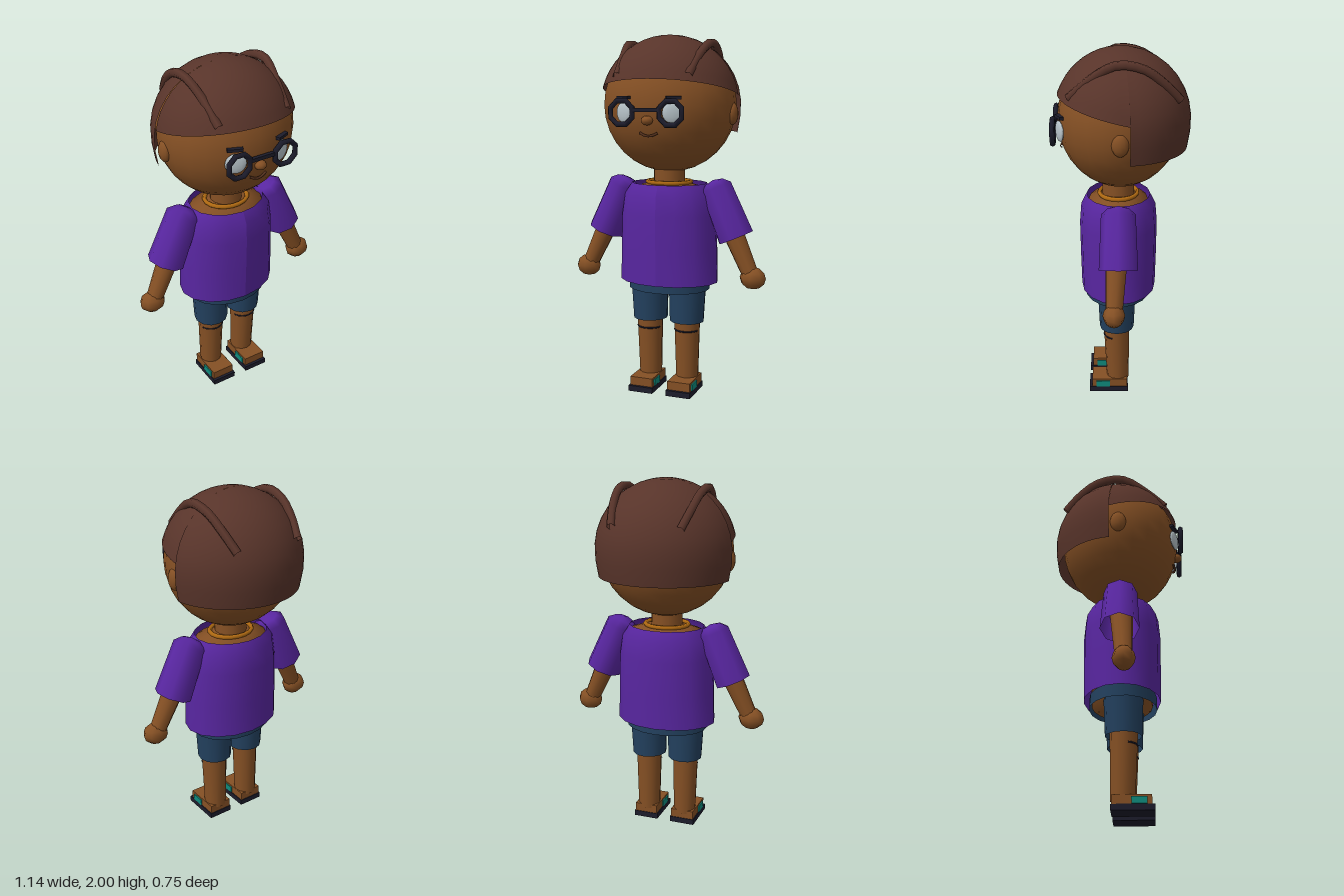
import * as THREE from 'three';

const mat = (name, color, side = THREE.FrontSide) => {
  const m = new THREE.MeshStandardMaterial({ color, side });
  m.name = name;
  return m;
};

export function createModel() {
  const model = new THREE.Group();
  model.name = 'child';
  const skin = mat('skin', 0x855024);
  const hair = mat('hair', 0x58342a, THREE.DoubleSide);
  const shirt = mat('purple shirt', 0x5826a0, THREE.DoubleSide);
  const denim = mat('blue shorts', 0x23415f, THREE.DoubleSide);
  const dark = mat('dark frames and soles', 0x1c1c2b);
  const white = mat('pale lens', 0xb8c4ca);
  const teal = mat('teal strap', 0x0f8a7c);
  const gold = mat('gold collar', 0xb06a12);
  const lip = mat('mouth brown', 0x54301c);

  const add = (name, geo, material, x = 0, y = 0, z = 0) => {
    const m = new THREE.Mesh(geo, material);
    m.name = name;
    m.position.set(x, y, z);
    model.add(m);
    return m;
  };
  const ball = (rx, ry, rz, w = 16, h = 12) => new THREE.SphereGeometry(1, w, h).scale(rx, ry, rz);
  const V = (p) => new THREE.Vector3(...p);
  const tube = (pts, r, seg = 12, sides = 6) =>
    new THREE.TubeGeometry(new THREE.CatmullRomCurve3(pts.map(V)), seg, r, sides);
  // Tapered cylinder running from point a to point b
  const limb = (name, material, a, b, ra, rb, sides = 10, open = false) => {
    const d = V(b).sub(V(a));
    const m = add(name, new THREE.CylinderGeometry(rb, ra, d.length(), sides, 1, open), material);
    m.position.copy(V(a)).addScaledVector(d, 0.5);
    m.quaternion.setFromUnitVectors(new THREE.Vector3(0, 1, 0), d.normalize());
    return m;
  };
  const lathe = (pts, sides) => new THREE.LatheGeometry(pts.map((p) => new THREE.Vector2(...p)), sides);

  // Head, neck and ears
  add('head', ball(0.372, 0.37, 0.337, 24, 16), skin, 0, 1.62, 0);
  add('neck', new THREE.CylinderGeometry(0.085, 0.09, 0.2, 14), skin, 0, 1.23, 0.01);

  // Hair shell around the skull, swept by azimuth down to a cut line
  const hairShell = (from, to, rx, endAngle, lowerRy) => {
    const cols = 24, rows = 10, pos = [], index = [];
    for (let i = 0; i <= cols; i++) {
      const phi = from + ((to - from) * i) / cols;
      const rz = 0.37 - 0.01 * Math.cos(phi);
      const end = endAngle(phi, rz);
      for (let j = 0; j <= rows; j++) {
        const t = (end * j) / rows, c = Math.cos(t), s = Math.sin(t);
        pos.push(rx * s * Math.sin(phi), 1.62 + c * (c < 0 ? lowerRy : 0.38), rz * s * Math.cos(phi));
        if (i < cols && j < rows) {
          const a = i * (rows + 1) + j, d = a + rows + 1;
          index.push(a, a + 1, d + 1, a, d + 1, d);
        }
      }
    }
    const g = new THREE.BufferGeometry();
    g.setAttribute('position', new THREE.Float32BufferAttribute(pos, 3));
    g.setIndex(index);
    g.computeVertexNormals();
    return g;
  };
  const split = 1.71;
  const fringeEnd = (phi, rz) => {
    const k = 0.22 * rz * Math.cos(phi);
    return Math.acos(0.065 / Math.hypot(0.38, k)) - Math.atan2(k, 0.38);
  };
  add('hairFront', hairShell(-split, split, 0.386, fringeEnd, 0.38), hair);
  add('hairBack', hairShell(split, 2 * Math.PI - split, 0.394, () => Math.acos(-0.3), 0.5), hair);

  // Face
  add('nose', ball(0.033, 0.025, 0.03, 10, 8), skin, 0, 1.545, 0.335);
  add('mouth', tube([[-0.05, 1.48, 0.312], [-0.025, 1.468, 0.317], [0, 1.464, 0.32],
    [0.025, 1.468, 0.317], [0.05, 1.48, 0.312]], 0.007), lip);
  add('glassesBridge', new THREE.BoxGeometry(0.15, 0.02, 0.02), dark, 0, 1.6, 0.353);

  // Torso inside the shirt, with sloping shoulders
  add('torso', lathe([[0, 0.6], [0.22, 0.61], [0.235, 1.0], [0.215, 1.16], [0.1, 1.195], [0, 1.2]], 18)
    .scale(1, 1, 0.76), skin, 0, 0, 0.01);
  add('collar', new THREE.TorusGeometry(0.112, 0.012, 6, 18).rotateX(Math.PI / 2).scale(1.1, 1, 0.95),
    gold, 0, 1.195, 0.01);

  // Shirt body: an oval tube, rounder toward the neckline
  const body = lathe([[0.285, 0.635], [0.28, 0.82], [0.272, 1.02], [0.255, 1.13], [0.215, 1.19]], 16);
  const p = body.attributes.position;
  for (let i = 0; i < p.count; i++) p.setZ(i, p.getZ(i) * (0.74 + 0.15 * Math.max(0, p.getY(i) - 0.64)));
  body.computeVertexNormals();
  add('shirtBody', body, shirt, 0, 0, 0.01);

  // Shorts waistband
  add('waistband', new THREE.CylinderGeometry(0.235, 0.235, 0.07, 18, 1, true).scale(1, 1, 0.79),
    denim, 0, 0.625, 0.015);

  for (const s of [1, -1]) {
    const side = s > 0 ? 'left' : 'right';

    // Ear, eyeglass and brow
    add(side + 'Ear', ball(0.03, 0.06, 0.045, 12, 8), skin, s * 0.362, 1.575, 0);
    add(side + 'GlassesRim', new THREE.TorusGeometry(0.066, 0.015, 6, 8).rotateZ(Math.PI / 8),
      dark, s * 0.137, 1.585, 0.353);
    add(side + 'Lens', ball(0.056, 0.056, 0.014, 12, 8), white, s * 0.137, 1.585, 0.318).rotation.y = s * 0.4;
    add(side + 'Brow', new THREE.BoxGeometry(0.08, 0.016, 0.025), dark, s * 0.14, 1.662, 0.315).rotation.y = s * 0.4;

    // Raised hair ridge over the crown
    add(side + 'HairRidge', tube([[s * 0.2, 1.775, 0.265], [s * 0.215, 1.875, 0.15], [s * 0.235, 1.95, 0.02],
      [s * 0.232, 1.93, -0.12], [s * 0.215, 1.85, -0.23], [s * 0.19, 1.765, -0.31]], 0.024, 14), hair);

    // Arm, hand and sleeve
    limb(side + 'Arm', skin, [s * 0.28, 1.14, 0.01], [s * 0.485, 0.7, 0.033], 0.07, 0.046);
    add(side + 'Hand', ball(0.074, 0.062, 0.06, 8, 6), skin, s * 0.497, 0.685, 0.034);
    const sleeve = add(side + 'Sleeve',
      lathe([[0.104, 0], [0.092, 0.295], [0.055, 0.328], [0, 0.34]], 8), shirt, s * 0.392, 0.9, 0.01);
    sleeve.rotation.z = s * 0.41;

    // Shorts leg, leg and knee crease
    limb(side + 'ShortsLeg', denim, [s * 0.11, 0.405, 0.02], [s * 0.114, 0.62, 0.02], 0.098, 0.107, 12, true);
    limb(side + 'Leg', skin, [s * 0.112, 0.06, 0.015], [s * 0.114, 0.62, 0.025], 0.064, 0.08, 12);
    add(side + 'KneeCrease', new THREE.TorusGeometry(0.07, 0.005, 5, 14, Math.PI * 0.8)
      .rotateZ(Math.PI * 0.1).rotateX(Math.PI / 2), dark, s * 0.113, 0.355, 0.022);

    // Foot, sole and strap plates
    add(side + 'Sole', new THREE.BoxGeometry(0.145, 0.032, 0.225), dark, s * 0.113, 0.016, 0.068);
    add(side + 'Foot', new THREE.BoxGeometry(0.134, 0.05, 0.205), skin, s * 0.113, 0.056, 0.062);
    for (const k of [-1, 1])
      add(side + 'Strap', new THREE.BoxGeometry(0.008, 0.036, 0.08), teal, s * 0.113 + k * 0.07, 0.052, 0.1);
  }
  return model;
}
